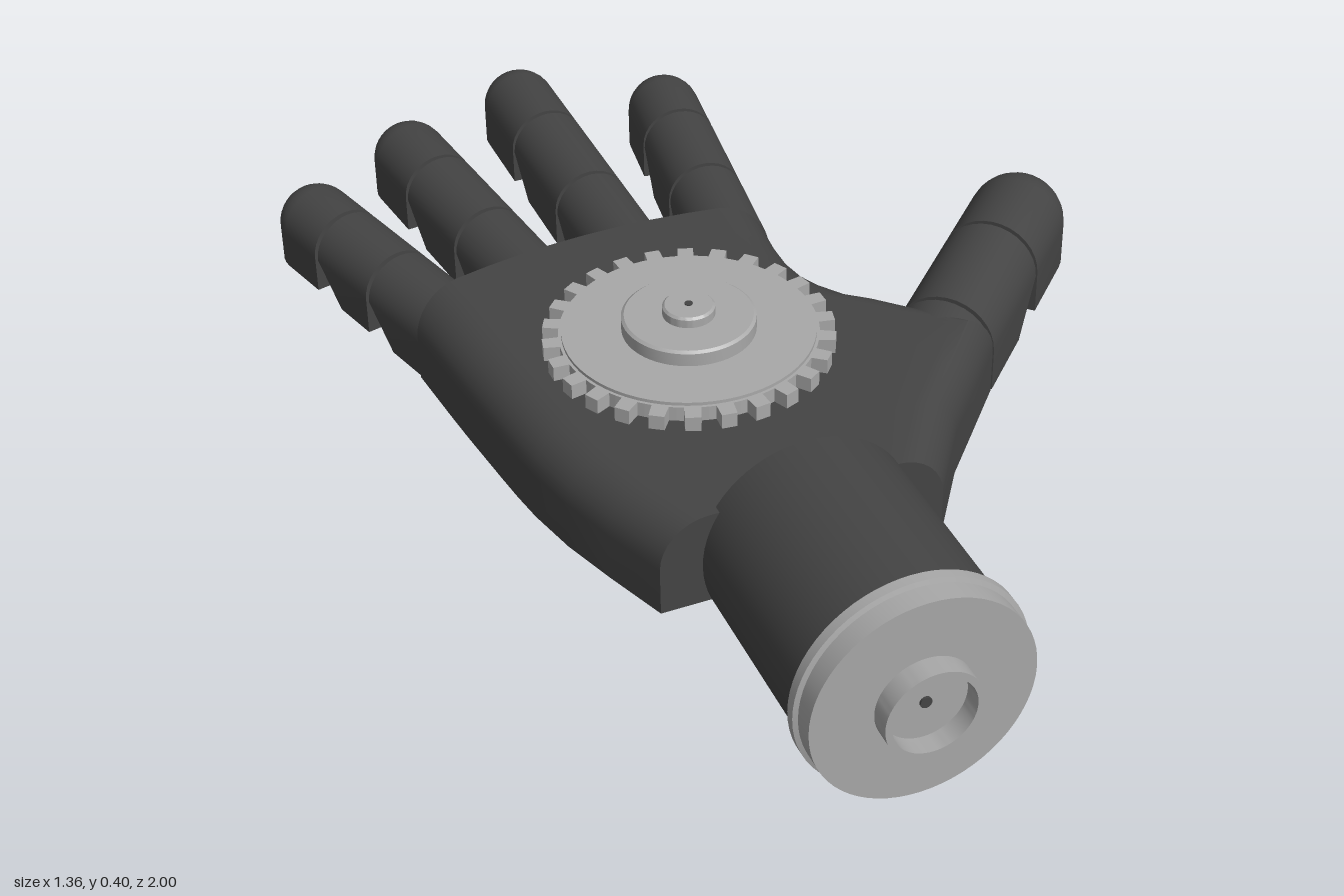
import * as THREE from 'three';
import { toCreasedNormals } from 'three/addons/utils/BufferGeometryUtils.js';

const dark = new THREE.MeshStandardMaterial({ color: 0x444444 });
dark.name = 'dark rubber';
const metal = new THREE.MeshStandardMaterial({ color: 0xa8a8a8 });
metal.name = 'grey metal';

const BOTTOM = 0.127;

function addMesh(parent, name, geometry, material) {
  const mesh = new THREE.Mesh(geometry, material);
  mesh.name = name;
  parent.add(mesh);
  return mesh;
}

// Skins a row of closed sections (counter-clockwise seen from +z, rows running to -z)
function loft(rows, startCentre, endCentre) {
  const pos = [];
  const tri = (...pts) => pts.forEach((p) => pos.push(...p));
  const n = rows[0].length;
  const last = rows[rows.length - 1];
  for (let i = 0; i < n; i++) {
    const k = (i + 1) % n;
    for (let j = 0; j < rows.length - 1; j++) {
      const a = rows[j][i], b = rows[j + 1][i], c = rows[j + 1][k], d = rows[j][k];
      tri(a, b, c);
      tri(a, c, d);
    }
    tri(startCentre, rows[0][i], rows[0][k]);
    tri(endCentre, last[k], last[i]);
  }
  const g = new THREE.BufferGeometry();
  g.setAttribute('position', new THREE.Float32BufferAttribute(pos, 3));
  g.computeVertexNormals();
  return toCreasedNormals(g, 0.6);
}

// Finger segment: flat underside, round top; ends in a dome or an undercut joint
function segmentGeometry(r, top, from, to, isTip) {
  const mid = top - r;
  const section = [[r, BOTTOM - mid]];
  for (let i = 0; i <= 16; i++) {
    const a = (i / 16) * Math.PI;
    section.push([r * Math.cos(a), r * Math.sin(a)]);
  }
  section.push([-r, BOTTOM - mid]);
  const row = (d, scale = 1, cut = 0) => section.map(([x, y]) => [
    x * scale,
    mid + (y > 0 ? y * scale : y),
    -d + (y < -1e-6 ? cut : 0),
  ]);
  const rows = [row(from)];
  if (isTip) {
    for (let i = 0; i <= 8; i++) {
      const a = (i / 8) * Math.PI / 2;
      rows.push(row(to - r + r * Math.sin(a), Math.cos(a)));
    }
  } else {
    rows.push(row(to, 1, r));
  }
  return loft(rows, [0, mid, -from], [0, mid, -to]);
}

// Digit: stops are distances of its joints and tip from the knuckle
function addDigit(parent, { name, x, z, angle, r, top, stops, root = 0 }) {
  const digit = new THREE.Group();
  digit.name = name;
  digit.position.set(x, 0, z);
  digit.rotation.y = THREE.MathUtils.degToRad(angle);
  const gap = 0.005;
  if (root) addMesh(digit, 'root', segmentGeometry(r, top, -root, -gap, false), dark);
  let from = 0;
  stops.forEach((to, i) => {
    const isTip = i === stops.length - 1;
    addMesh(digit, isTip ? 'fingertip' : 'segment',
      segmentGeometry(r, top, from + gap, isTip ? to : to - gap, isTip), dark);
    // narrow hinge tongue bridging the joint behind this segment
    const hinge = addMesh(digit, 'hinge', new THREE.BoxGeometry(r * 0.55, r * 1.2, r * 1.7), dark);
    hinge.position.set(0, BOTTOM + 0.012 + r * 0.6, -from + r * 0.35);
    from = to;
  });
  parent.add(digit);
}

// Palm: sections between a left and a right edge, rounded along both
function palmGeometry() {
  const left = new THREE.SplineCurve([[-0.402, 0.545], [-0.49, 0.29], [-0.53, 0.03], [-0.556, -0.217]]
    .map((p) => new THREE.Vector2(...p)));
  const right = [[0.095, 0.545], [0.19, 0.407], [0.27, 0.317], [0.354, 0.222], [0.291, 0.159],
    [0.228, 0.095], [0.185, 0.06], [0.15, 0.01], [0.128, -0.04], [0.117, -0.1], [0.118, -0.17],
    [0.127, -0.254]];
  const round = 0.085, top = 0.3, mid = top - round, steps = 8;
  const bulge = -0.048;
  const rows = right.map(([rx, rz]) => {
    const t = (0.545 - rz) / 0.799;
    const l = left.getPoint(t);
    const pts = [];
    const put = (x, y) => {
      const u = (x - l.x) / (rx - l.x);
      pts.push([x, y, l.y + (rz - l.y) * u + bulge * 4 * u * (1 - u) * t ** 4]);
    };
    put(rx, BOTTOM);
    for (let i = 0; i <= steps; i++) {
      const a = (i / steps) * Math.PI / 2;
      put(rx - round * (1 - Math.cos(a)), mid + round * Math.sin(a));
    }
    for (let i = 1; i < steps; i++) {
      put(THREE.MathUtils.lerp(rx - round, l.x + round, i / steps), top);
    }
    for (let i = steps; i >= 0; i--) {
      const a = (i / steps) * Math.PI / 2;
      put(l.x + round * (1 - Math.cos(a)), mid + round * Math.sin(a));
    }
    for (let i = 0; i < steps; i++) put(THREE.MathUtils.lerp(l.x, rx, i / steps), BOTTOM);
    return pts;
  });
  return loft(rows, [-0.15, 0.21, 0.545], [-0.21, 0.21, -0.283]);
}

function turned(profile) {
  const pts = profile.map((p) => new THREE.Vector2(...p));
  return toCreasedNormals(new THREE.LatheGeometry(pts, 64), 0.6);
}

// Toothed ring outline
function gearGeometry(teeth, inner, outer, depth) {
  const shape = new THREE.Shape();
  const step = (Math.PI * 2) / teeth;
  for (let i = 0; i < teeth; i++) {
    [[-0.5, inner], [-0.27, inner], [-0.22, outer], [0.22, outer], [0.27, inner]].forEach(([f, r], k) => {
      const a = (i + f) * step;
      shape[i + k === 0 ? 'moveTo' : 'lineTo'](r * Math.cos(a), r * Math.sin(a));
    });
  }
  const g = new THREE.ExtrudeGeometry(shape, { depth, bevelEnabled: false });
  return g.rotateX(-Math.PI / 2);
}

export function createModel() {
  const hand = new THREE.Group();
  hand.name = 'mechanicalHand';

  addMesh(hand, 'palm', palmGeometry(), dark);

  // Fingers and thumb
  const finger = { r: 0.071, top: 0.27 };
  addDigit(hand, { ...finger, name: 'littleFinger', x: -0.484, z: -0.235, angle: 15.4, stops: [0.173, 0.348, 0.527] });
  addDigit(hand, { ...finger, name: 'ringFinger', x: -0.307, z: -0.273, angle: 7.1, stops: [0.208, 0.421, 0.627] });
  addDigit(hand, { ...finger, name: 'middleFinger', x: -0.114, z: -0.285, angle: 0, stops: [0.238, 0.481, 0.715] });
  addDigit(hand, { ...finger, name: 'indexFinger', x: 0.069, z: -0.273, angle: -8.1, stops: [0.193, 0.402, 0.598] });
  addDigit(hand, { name: 'thumb', x: 0.291, z: 0.159, angle: -45, r: 0.09, top: 0.3, stops: [0.262, 0.513], root: 0.12 });

  // Gear on the back of the hand
  const gear = new THREE.Group();
  gear.name = 'gear';
  gear.position.set(-0.168, 0, 0.1);
  addMesh(gear, 'gearTeeth', gearGeometry(26, 0.222, 0.25, 0.03), metal).position.y = 0.297;
  addMesh(gear, 'gearHub', turned([
    [0.217, 0.3], [0.217, 0.333], [0.115, 0.333], [0.115, 0.357], [0.11, 0.361], [0.045, 0.361],
    [0.045, 0.376], [0.041, 0.38], [0, 0.38],
  ]), metal);
  addMesh(gear, 'gearPin', new THREE.CylinderGeometry(0.007, 0.007, 0.004, 16), dark).position.y = 0.38;
  hand.add(gear);

  // Wrist and its end cap, turned about the z axis
  const wrist = new THREE.Group();
  wrist.name = 'wrist';
  wrist.position.set(-0.144, 0.2, 0);
  wrist.rotation.x = Math.PI / 2;
  addMesh(wrist, 'wristSleeve', turned([[0, 0.53], [0.185, 0.53], [0.185, 0.91], [0, 0.91]]), dark);
  addMesh(wrist, 'wristCap', turned([
    [0, 0.903], [0.198, 0.903], [0.198, 0.921], [0.19, 0.924], [0.19, 0.962], [0.083, 0.962],
    [0.083, 1], [0.071, 1], [0.071, 0.965], [0, 0.965],
  ]), metal);
  addMesh(wrist, 'wristPin', new THREE.CylinderGeometry(0.01, 0.01, 0.006, 16), dark).position.y = 0.966;
  hand.add(wrist);

  return hand;
}
